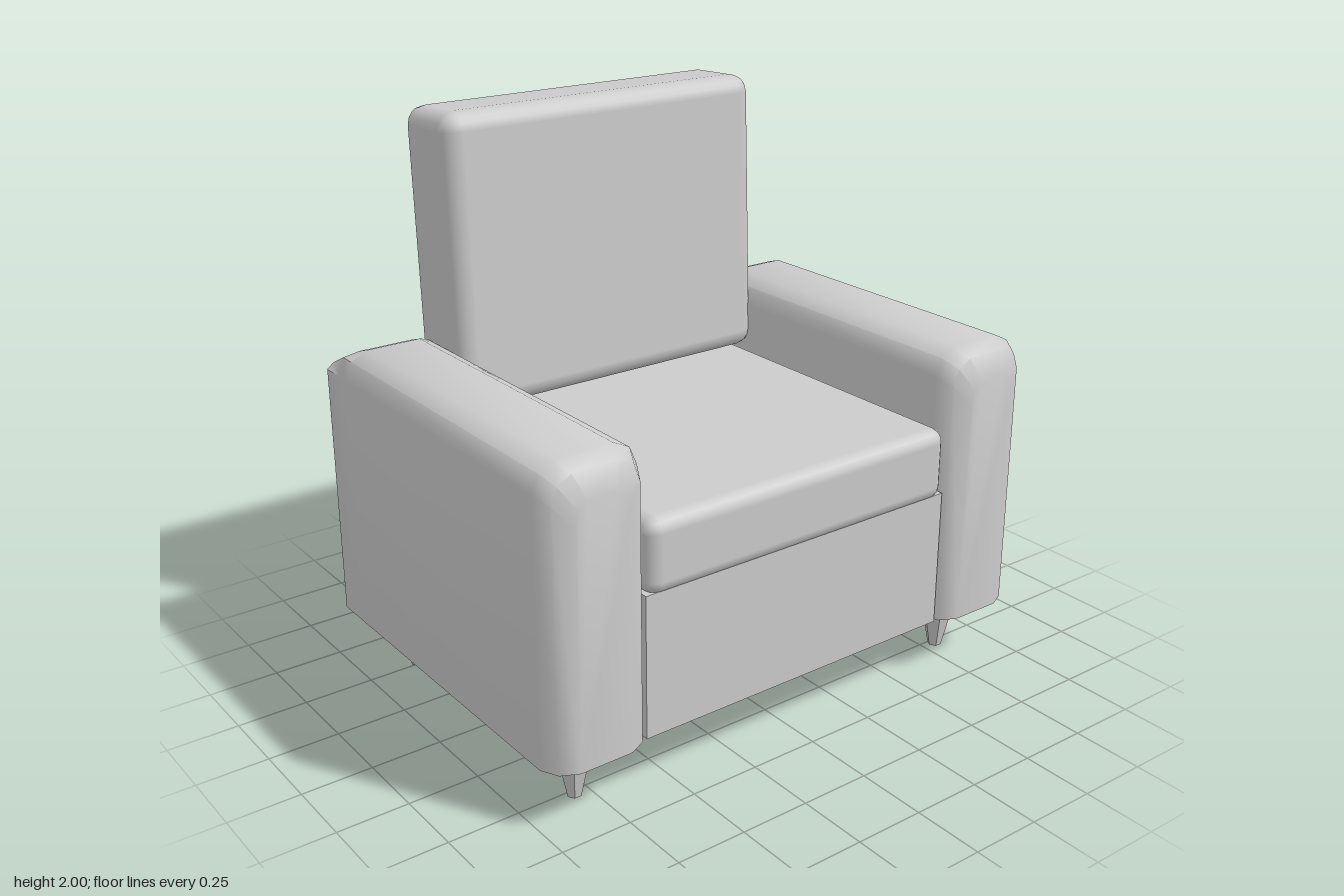
import * as THREE from 'three';
import { toCreasedNormals } from 'three/addons/utils/BufferGeometryUtils.js';
import { RoundedBoxGeometry } from 'three/addons/geometries/RoundedBoxGeometry.js';

const material = new THREE.MeshStandardMaterial({ color: 0xcccccc });
const FLOOR = 0.215; // underside of the body

function addMesh(parent, name, geometry, x, y, z) {
  const mesh = new THREE.Mesh(geometry, material);
  mesh.name = name;
  mesh.position.set(x, y, z);
  parent.add(mesh);
  return mesh;
}

// Armrest: a bevelled-top cross-section lofted from the back (-x) to the front (+x)
function armGeometry() {
  const half = 0.185;
  // [z, y] from the outer bottom corner over the top to the inner one
  const side = [[half, FLOOR], [half, 1.13], [0.16, 1.19], [0.1, 1.22]];
  const profile = [...side, ...side.map(([z, y]) => [-z, y]).reverse()];
  // x, inset of the sides, drop of the top, height at which the top is cut
  const sections = [
    [-0.68, 0, 0, 1.15], [-0.6, 0, 0, 1.2], [-0.54, 0, 0, 2],
    [0.62, 0, 0, 2], [0.68, 0.03, 0.03, 2], [0.71, 0.09, 0.11, 2],
  ];
  const n = profile.length;
  const positions = [];
  const index = [];
  for (const [x, inset, drop, cut] of sections) {
    for (const [z, y] of profile) {
      const rise = (y - FLOOR) * (1 - drop / (1.22 - FLOOR));
      positions.push(x, Math.min(FLOOR + rise, cut), z * (1 - inset / half));
    }
  }
  for (let i = 0; i < sections.length - 1; i++) {
    for (let j = 0; j < n; j++) {
      const a = i * n + j, c = i * n + (j + 1) % n;
      index.push(a, a + n, c, c, a + n, c + n);
    }
  }
  // End caps
  const last = (sections.length - 1) * n;
  for (let j = 1; j < n - 1; j++) {
    index.push(0, j, j + 1, last, last + j + 1, last + j);
  }
  const geometry = new THREE.BufferGeometry();
  geometry.setAttribute('position', new THREE.Float32BufferAttribute(positions, 3));
  geometry.setIndex(index);
  return toCreasedNormals(geometry, 0.75);
}

export function createModel() {
  const chair = new THREE.Group();
  chair.name = 'armchair';

  // Body under the seat
  addMesh(chair, 'base', new THREE.BoxGeometry(1.355, 0.5, 1.26), -0.0025, FLOOR + 0.25, 0);

  // Cushions
  addMesh(chair, 'seatCushion', new RoundedBoxGeometry(1.38, 0.26, 1.25, 2, 0.05), 0, 0.83, 0);
  const back = addMesh(chair, 'backCushion',
    new RoundedBoxGeometry(0.31, 1.035, 1.285, 2, 0.065), -0.538, 1.48, -0.005);
  back.rotation.z = 0.042;

  // Arms and six-sided tapered legs
  const arm = armGeometry();
  const leg = new THREE.CylinderGeometry(0.073, 0.025, 0.22, 6).toNonIndexed();
  leg.computeVertexNormals();
  for (const [side, s] of [['left', -1], ['right', 1]]) {
    addMesh(chair, side + 'Arm', arm, 0, 0, s * 0.805);
    addMesh(chair, side + 'FrontLeg', leg, 0.52, 0.11, s * 0.805);
    addMesh(chair, side + 'BackLeg', leg, -0.51, 0.11, s * 0.805);
  }
  return chair;
}
